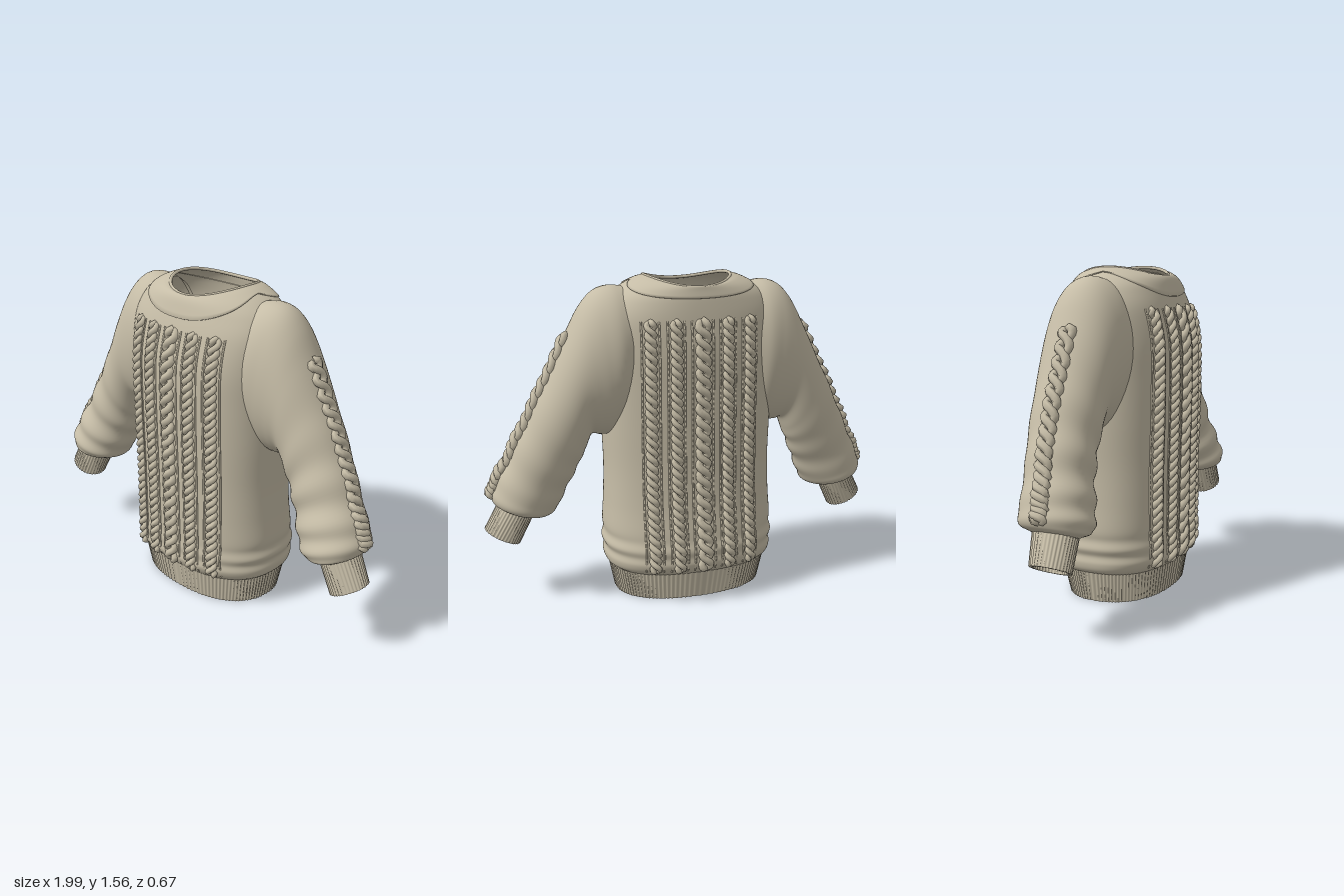
import * as THREE from 'three';

const wool = new THREE.MeshStandardMaterial({ color: 0xc6bda7, side: THREE.DoubleSide });
wool.name = 'oatmeal wool';

const V = (x, y, z) => new THREE.Vector3(x, y, z);
const spline = (pts) => new THREE.CatmullRomCurve3(pts, false, 'catmullrom', 0.5);
const spow = (v, p) => Math.sign(v) * Math.pow(Math.abs(v), p);

// Closed-ring loft: fn(v, angle) gives a point, v runs 0..1 along the rows
function loft(rows, segs, fn) {
  const pos = [], idx = [];
  for (let i = 0; i <= rows; i++)
    for (let j = 0; j < segs; j++) pos.push(...fn(i / rows, (j / segs) * Math.PI * 2).toArray());
  for (let i = 0; i < rows; i++)
    for (let j = 0; j < segs; j++) {
      const k = (j + 1) % segs, a = i * segs + j, b = a + segs, c = i * segs + k, d = c + segs;
      idx.push(a, b, c, b, d, c);
    }
  const g = new THREE.BufferGeometry();
  g.setAttribute('position', new THREE.Float32BufferAttribute(pos, 3));
  g.setIndex(idx);
  g.computeVertexNormals();
  return g;
}

function add(parent, name, geometry) {
  const m = new THREE.Mesh(geometry, wool);
  m.name = name;
  parent.add(m);
}

// Torso rings: y, half width, front depth, back depth, roundness, dip at front and back
const RINGS = [
  [0.14, 0.385, 0.262, 0.262, 2.4, 0], [0.165, 0.415, 0.283, 0.288, 2.4, 0],
  [0.2, 0.424, 0.298, 0.302, 2.4, 0], [0.235, 0.418, 0.295, 0.3, 2.4, 0],
  [0.27, 0.43, 0.298, 0.303, 2.4, 0], [0.31, 0.42, 0.293, 0.292, 2.4, 0],
  [0.36, 0.424, 0.294, 0.285, 2.4, 0], [0.48, 0.416, 0.296, 0.268, 2.4, 0],
  [0.65, 0.411, 0.298, 0.257, 2.4, 0], [0.85, 0.417, 0.302, 0.252, 2.4, 0],
  [1.05, 0.42, 0.304, 0.251, 2.4, 0], [1.22, 0.425, 0.298, 0.25, 2.4, 0],
  [1.36, 0.42, 0.265, 0.238, 2.4, 0], [1.45, 0.385, 0.237, 0.226, 2.2, 0],
  [1.505, 0.325, 0.221, 0.216, 2.1, 0.01], [1.54, 0.255, 0.206, 0.212, 2, 0.025],
  [1.555, 0.205, 0.192, 0.208, 2, 0.04],
];
const LAST = RINGS.length - 1;
const shapeA = spline(RINGS.map((r) => V(r[0], r[1], r[4])));
const shapeB = spline(RINGS.map((r) => V(r[2], r[3], r[5])));

function torso(t, a, out = 0) {
  const A = shapeA.getPoint(t), B = shapeB.getPoint(t);
  const c = Math.cos(a), s = Math.sin(a), p = 2 / A.z;
  return V((A.y + out) * spow(c, p), A.x - B.z * s * s + out * 0.5, ((s > 0 ? B.x : B.y) + out) * spow(s, p));
}

// Point on the torso front (side 1) or back (side -1) at a given x and y
function torsoAt(x, y, side, out) {
  let lo = 0, hi = 13 / LAST;
  for (let i = 0; i < 24; i++) {
    const m = (lo + hi) / 2;
    if (shapeA.getPoint(m).x < y) lo = m; else hi = m;
  }
  const A = shapeA.getPoint(lo), B = shapeB.getPoint(lo);
  const z = (side > 0 ? B.x : B.y) * Math.pow(1 - Math.pow(Math.abs(x) / A.y, A.z), 1 / A.z);
  return V(x + x * out, y, side * (z + out));
}

// Sleeve sections: outer x, outer y, inner x, inner y, half depth, z centre
const ARM = [
  [0.29, 1.505, 0.3, 0.95, 0.185, 0], [0.38, 1.518, 0.34, 0.87, 0.2, -0.008],
  [0.455, 1.495, 0.39, 0.82, 0.193, -0.01], [0.52, 1.425, 0.44, 0.815, 0.182, -0.01],
  [0.585, 1.305, 0.485, 0.82, 0.172, -0.01], [0.68, 1.115, 0.513, 0.755, 0.163, -0.01],
  [0.77, 0.94, 0.54, 0.695, 0.156, -0.005], [0.845, 0.785, 0.575, 0.62, 0.153, 0.01],
  [0.91, 0.66, 0.615, 0.535, 0.158, 0.03], [0.952, 0.575, 0.648, 0.463, 0.166, 0.042],
  [0.958, 0.515, 0.69, 0.432, 0.158, 0.046], [0.92, 0.482, 0.755, 0.428, 0.115, 0.055],
  [0.905, 0.47, 0.785, 0.42, 0.085, 0.06],
];
const armOuter = spline(ARM.map((r) => V(r[0], r[1], 0)));
const armInner = spline(ARM.map((r) => V(r[2], r[3], 0)));
const armDepth = spline(ARM.map((r) => V(r[4], r[5], 0)));

function sleeve(sgn, t, a, out = 0) {
  const O = armOuter.getPoint(t), I = armInner.getPoint(t), D = armDepth.getPoint(t);
  const mid = O.clone().add(I).multiplyScalar(0.5), dir = O.clone().sub(I), r = dir.length() / 2;
  dir.normalize();
  // soft folds, strongest at the front of the forearm
  const zs = -sgn * Math.sin(a);
  const window = Math.pow(Math.sin(Math.PI * Math.min(1, Math.max(0, (t - 0.3) / 0.65))), 2);
  const fold = 0.008 * window * Math.sin(t * 58 + zs * 1.3) * (0.6 + 0.4 * zs) + out;
  const p = mid.addScaledVector(dir, (r + fold) * Math.cos(a));
  return V(sgn * p.x, p.y, D.y + (D.x + fold) * zs);
}

// Two strands twisted round each other along a surface; at(u, side offset, height)
function cable(parent, name, twists, amp, radius, at) {
  const n = twists * 8;
  for (const phase of [0, Math.PI]) {
    const pts = [];
    for (let i = 0; i <= n; i++) {
      const w = (i / 8) * Math.PI * 2 + phase;
      const end = i === 0 || i === n ? -0.02 : 0;
      pts.push(at(i / n, amp * Math.sin(w), 0.004 + 0.009 * Math.cos(w) + end));
    }
    add(parent, name, new THREE.TubeGeometry(new THREE.CatmullRomCurve3(pts), twists * 12, radius, 6));
  }
}

// Rib profile with wall thickness: inner top, inner end, outer end, outer top
const WALL = [[1, -1], [0, -1], [0, -1], [0, 0], [0, 0], [1, 0]];
const ribWave = (a, count, depth) => depth * Math.max(-0.7, Math.cos(a * count));

export function createModel() {
  const group = new THREE.Group();
  group.name = 'cableKnitSweater';

  // body with rounded shoulders
  add(group, 'body', loft(96, 120, (v, a) => torso(v, a)));

  // ribbed waistband
  add(group, 'waistband', loft(5, 432, (v, a) => {
    const [h, inner] = WALL[Math.round(v * 5)];
    const out = inner * 0.016 + ribWave(a, 108, 0.0035);
    const c = Math.cos(a), s = Math.sin(a), p = 2 / 2.3;
    const dz = s > 0 ? 0.247 + 0.026 * h : 0.235 + 0.038 * h;
    return V((0.368 + 0.032 * h + out) * spow(c, p), 0.004 + 0.156 * h, (dz + out) * spow(s, p));
  }));

  // collar panel, deeper at the front, and its rolled rim
  add(group, 'collar', loft(14, 96, (v, a) => {
    const s = Math.sin(a);
    const edge = 14.75 - (s > 0 ? 2.15 * Math.pow(s, 1.6) : 1.5 * Math.pow(-s, 0.8));
    const t = (edge + (LAST - edge) * Math.max(0, (v * 14 - 1) / 13)) / LAST;
    return torso(t, a, v === 0 ? -0.003 : 0.006);
  }));
  const rim = [];
  for (let i = 0; i < 48; i++) rim.push(torso(1, (i / 48) * Math.PI * 2, 0.001));
  add(group, 'neckRim', new THREE.TubeGeometry(new THREE.CatmullRomCurve3(rim, true), 96, 0.008, 8, true));

  // five cable columns on the front and the back
  for (const side of [1, -1])
    for (const x of [-0.24, -0.125, 0, 0.125, 0.24]) {
      const wide = x === 0;
      cable(group, side > 0 ? 'frontCable' : 'backCable', wide ? 11 : 15, wide ? 0.023 : 0.016,
        wide ? 0.019 : 0.015, (u, d, h) => torsoAt(x + d, 0.17 + 1.2 * u, side, h));
      // narrow ridges beside each column
      for (const e of [-1, 1]) {
        const pts = [];
        for (let i = 0; i <= 24; i++) pts.push(torsoAt(x + e * (wide ? 0.051 : 0.039), 0.17 + 1.2 * i / 24, side, 0));
        add(group, 'cableEdge', new THREE.TubeGeometry(new THREE.CatmullRomCurve3(pts), 48, 0.005, 5));
      }
    }

  for (const sgn of [1, -1]) {
    const arm = new THREE.Group();
    arm.name = sgn > 0 ? 'leftSleeve' : 'rightSleeve';
    group.add(arm);
    add(arm, 'sleeve', loft(90, 48, (v, a) => sleeve(sgn, v, a)));

    // cable down the outside of the sleeve
    cable(arm, 'sleeveCable', 9, 0.024, 0.02,
      (u, d, h) => sleeve(sgn, 0.335 + 0.46 * u, d / 0.16, h));

    // ribbed cuff
    const top = V(0.842, 0.462, 0.058), end = V(0.914, 0.322, 0.07);
    const across = V(0.89, 0.456, 0);
    add(arm, 'cuff', loft(5, 144, (v, a) => {
      const [h, inner] = WALL[Math.round(v * 5)];
      const out = inner * 0.012 + ribWave(a, 36, 0.003);
      const c = end.clone().lerp(top, h).addScaledVector(across, (0.09 - 0.004 * h + out) * Math.cos(a));
      return V(sgn * c.x, c.y, c.z + sgn * (0.09 + 0.012 * h + out) * Math.sin(a));
    }));
  }
  return group;
}
